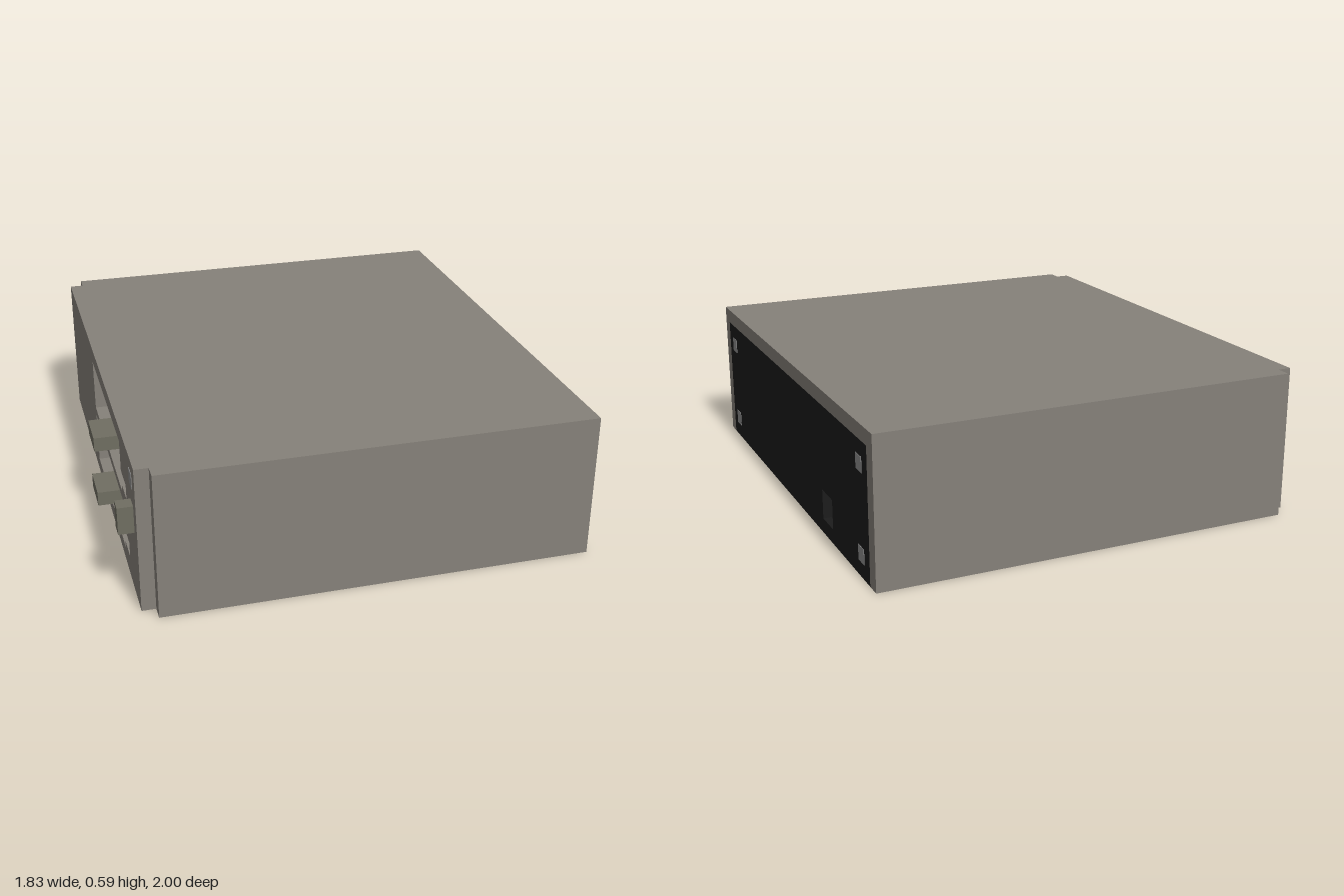
import * as THREE from 'three';

const mat = (color) => new THREE.MeshStandardMaterial({ color, flatShading: true });

export function createModel() {
  const group = new THREE.Group();
  const casing = mat(0x86817a), trim = mat(0x706e62), black = mat(0x1c1c1c);
  const dark = mat(0x0a0a0a), light = mat(0x8e8e8e);

  // Box given by its lower and upper limits on each axis
  const box = (name, m, x0, x1, y0, y1, z0, z1) => {
    const mesh = new THREE.Mesh(new THREE.BoxGeometry(x1 - x0, y1 - y0, z1 - z0), m);
    mesh.position.set((x0 + x1) / 2, (y0 + y1) / 2, (z0 + z1) / 2);
    mesh.name = name;
    group.add(mesh);
  };

  // Outline in the (z, y) plane
  const outline = (Type, points) => new Type(points.map(([z, y]) => new THREE.Vector2(z, y)));
  const rect = (Type, z0, z1, y0, y1) => outline(Type, [[z0, y0], [z1, y0], [z1, y1], [z0, y1]]);

  // Upright plate across x, with holes
  const plate = (name, m, x0, x1, shape, holes) => {
    shape.holes.push(...holes);
    const geo = new THREE.ExtrudeGeometry(shape, { depth: x1 - x0, bevelEnabled: false });
    geo.rotateY(-Math.PI / 2);
    const mesh = new THREE.Mesh(geo, m);
    mesh.position.x = x1;
    mesh.name = name;
    group.add(mesh);
  };

  // Casing, with a rim around the connector end
  box('casing', casing, -0.7, 0.85, 0, 0.59, -1, 1);
  box('rimTop', casing, 0.85, 0.91, 0.53, 0.59, -1, 1);
  for (const s of [-1, 1]) {
    box('rimSide', casing, 0.85, 0.91, 0, 0.53, s < 0 ? -1 : 0.94, s < 0 ? -0.94 : 1);
  }

  // Drive bays: bottom of each bay
  const bays = [0.06, 0.31];

  // Bulkhead with the deep disk slots
  plate('bulkhead', casing, -0.8, -0.7, rect(THREE.Shape, -1, 1, 0, 0.59),
    bays.map((y) => rect(THREE.Path, -0.18, 0.7, y + 0.03, y + 0.09)));

  // Faceplate with recessed bays, each notched where its slot runs on
  plate('faceplate', casing, -0.855, -0.8, rect(THREE.Shape, -0.94, 0.94, 0, 0.59),
    bays.map((y) => outline(THREE.Path, [
      [-0.18, y], [0.58, y], [0.58, y + 0.03], [0.7, y + 0.03],
      [0.7, y + 0.09], [0.58, y + 0.09], [0.58, y + 0.215], [-0.18, y + 0.215],
    ])));

  for (const y of bays) {
    box('slotInterior', dark, -0.72, -0.699, y + 0.03, y + 0.09, -0.18, 0.7);
    box('driveLever', trim, -0.915, -0.8, y, y + 0.06, 0.06, 0.23);
  }

  // Power switch and indicator
  box('powerSwitch', trim, -0.915, -0.855, 0.3, 0.41, 0.82, 0.88);
  box('indicatorLamp', light, -0.857, -0.85, 0.48, 0.54, 0.82, 0.88);

  // Connector end panel with its power socket and corner screws
  plate('endPanel', black, 0.85, 0.91, rect(THREE.Shape, -0.94, 0.94, 0, 0.53),
    [rect(THREE.Path, -0.53, -0.41, 0.06, 0.18)]);
  box('socketBack', dark, 0.845, 0.853, 0.06, 0.18, -0.53, -0.41);
  for (const z of [-0.855, 0.855]) {
    for (const y of [0.09, 0.44]) {
      box('screw', light, 0.9, 0.912, y - 0.03, y + 0.03, z - 0.03, z + 0.03);
    }
  }
  return group;
}
